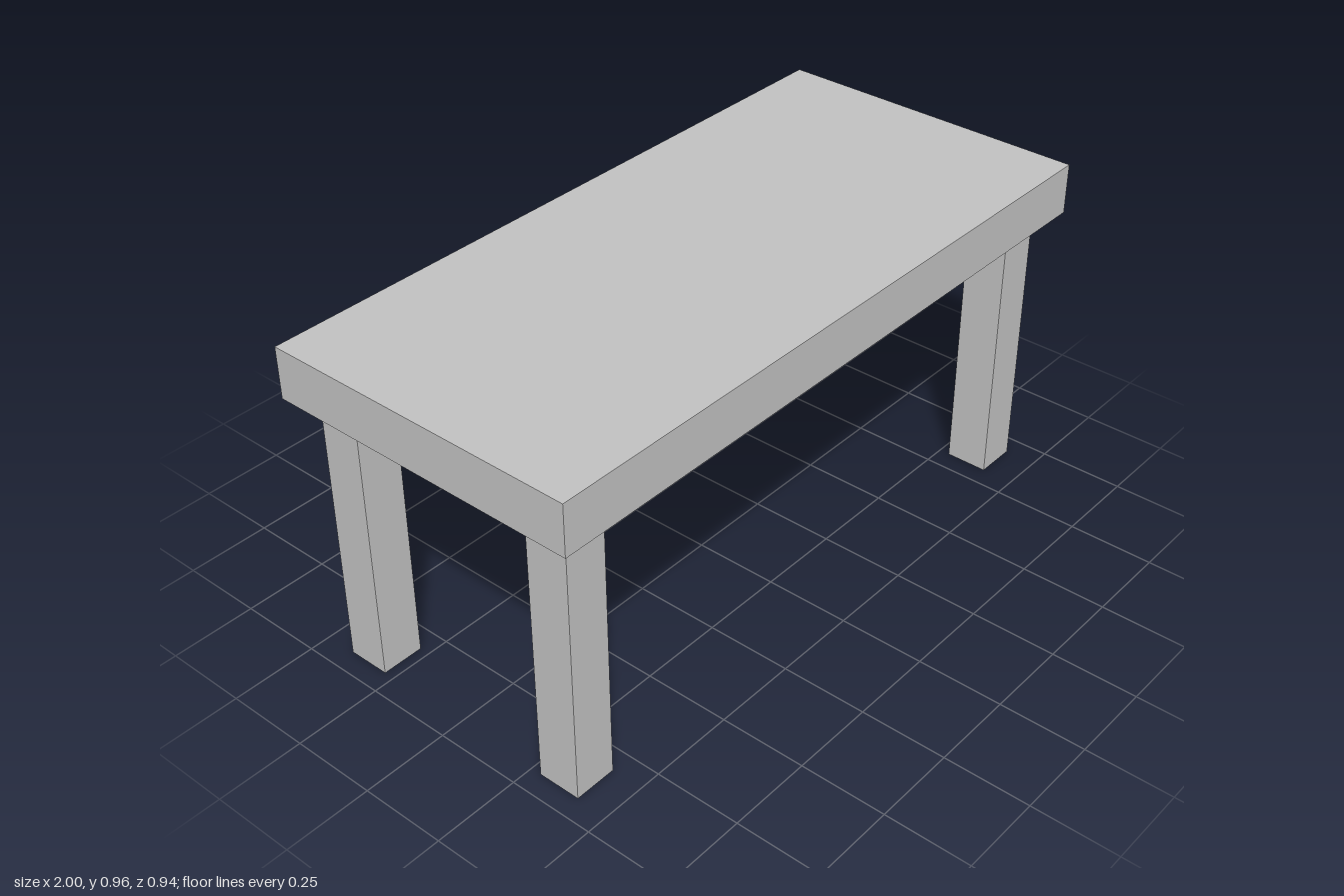
import * as THREE from 'three';

export function createModel() {
  const table = new THREE.Group();
  table.name = 'table';

  const grey = new THREE.MeshStandardMaterial({ color: 0xc0c0c0 });
  grey.name = 'light grey';

  const topBottom = 0.814;
  const topHeight = 0.148;
  const legWidth = 0.125;

  function addBox(name, width, height, depth, x, bottom, z) {
    const mesh = new THREE.Mesh(new THREE.BoxGeometry(width, height, depth), grey);
    mesh.name = name;
    mesh.position.set(x, bottom + height / 2, z);
    table.add(mesh);
  }

  // Thick slab top
  addBox('tableTop', 2, topHeight, 0.937, 0, topBottom, 0);

  // Four square legs, inset from the edges
  for (const [side, sx] of [['Left', 1], ['Right', -1]]) {
    for (const [end, sz] of [['front', 1], ['back', -1]]) {
      addBox(`${end}${side}Leg`, legWidth, topBottom, legWidth, sx * 0.875, 0, sz * 0.344);
    }
  }

  return table;
}
